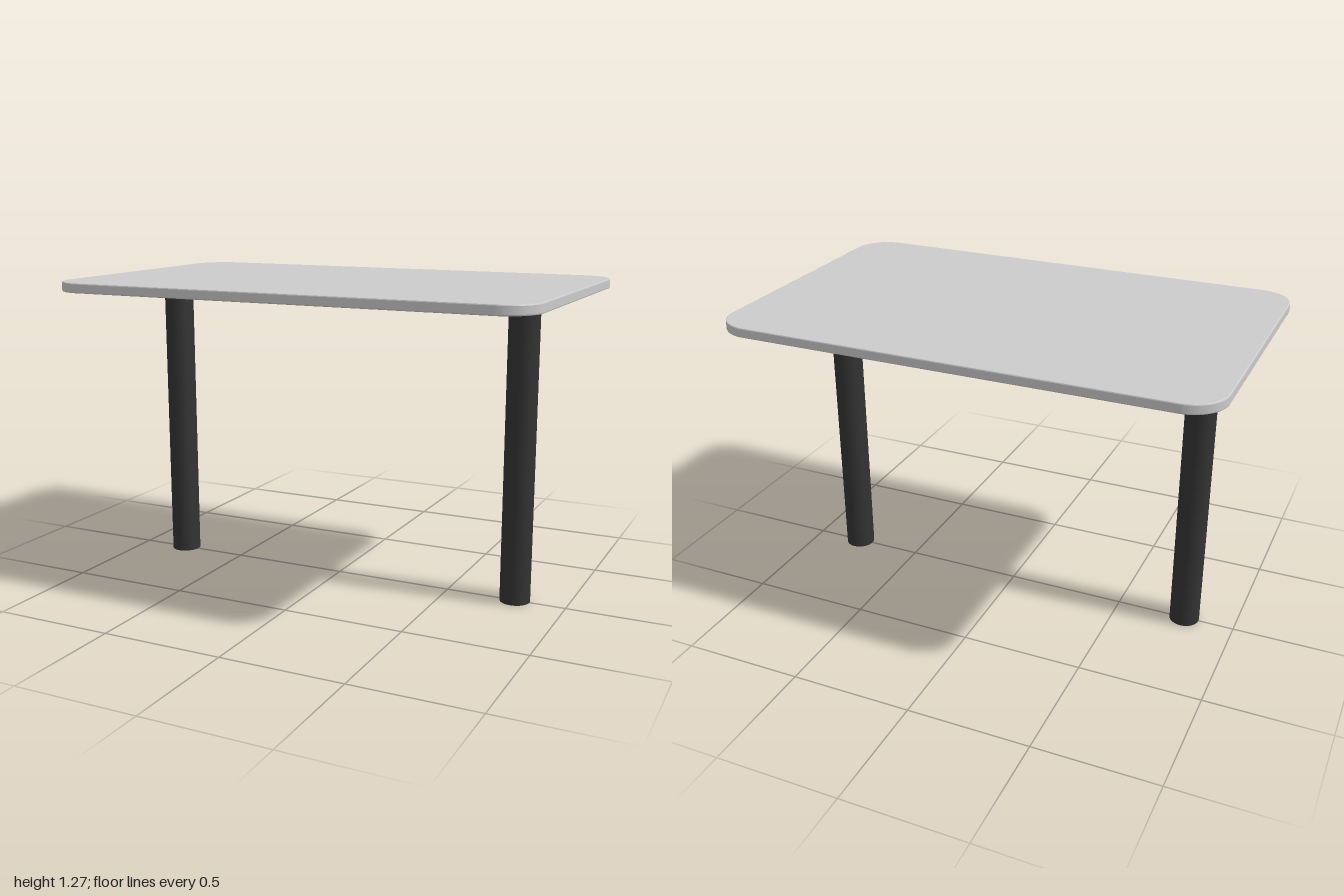
import * as THREE from 'three';
import { toCreasedNormals } from 'three/addons/utils/BufferGeometryUtils.js';

const TOP_Y = 1.27, UNDER_Y = 1.23;

// Rounded rectangle centred on the origin
function roundedRect(w, d, r) {
  const x = w / 2, y = d / 2;
  const s = new THREE.Shape();
  s.moveTo(x, -y + r);
  s.lineTo(x, y - r);
  s.absarc(x - r, y - r, r, 0, Math.PI / 2);
  s.absarc(-x + r, y - r, r, Math.PI / 2, Math.PI);
  s.absarc(-x + r, -y + r, r, Math.PI, Math.PI * 1.5);
  s.absarc(x - r, -y + r, r, Math.PI * 1.5, Math.PI * 2);
  return s;
}

export function createModel() {
  const table = new THREE.Group();
  table.name = 'table';
  const topMaterial = new THREE.MeshStandardMaterial({ color: 0xcccccc });
  const legMaterial = new THREE.MeshStandardMaterial({ color: 0x333333 });

  // Table top: thin slab with rounded corners and a slightly eased edge
  const bevel = 0.005;
  const slab = new THREE.ExtrudeGeometry(roundedRect(2 - 2 * bevel, 1.25 - 2 * bevel, 0.14 - bevel), {
    depth: TOP_Y - UNDER_Y - 2 * bevel,
    bevelThickness: bevel,
    bevelSize: bevel,
    bevelSegments: 2,
    curveSegments: 16,
  });
  slab.rotateX(-Math.PI / 2);
  const top = new THREE.Mesh(toCreasedNormals(slab, 0.35), topMaterial);
  top.name = 'tableTop';
  top.position.y = UNDER_Y + bevel;
  table.add(top);

  // One round leg under each end
  const legGeometry = new THREE.CylinderGeometry(0.062, 0.062, UNDER_Y, 32);
  for (const [name, side] of [['leftLeg', 1], ['rightLeg', -1]]) {
    const leg = new THREE.Mesh(legGeometry, legMaterial);
    leg.name = name;
    leg.position.set(side * 0.79, UNDER_Y / 2, 0);
    table.add(leg);
  }
  return table;
}
